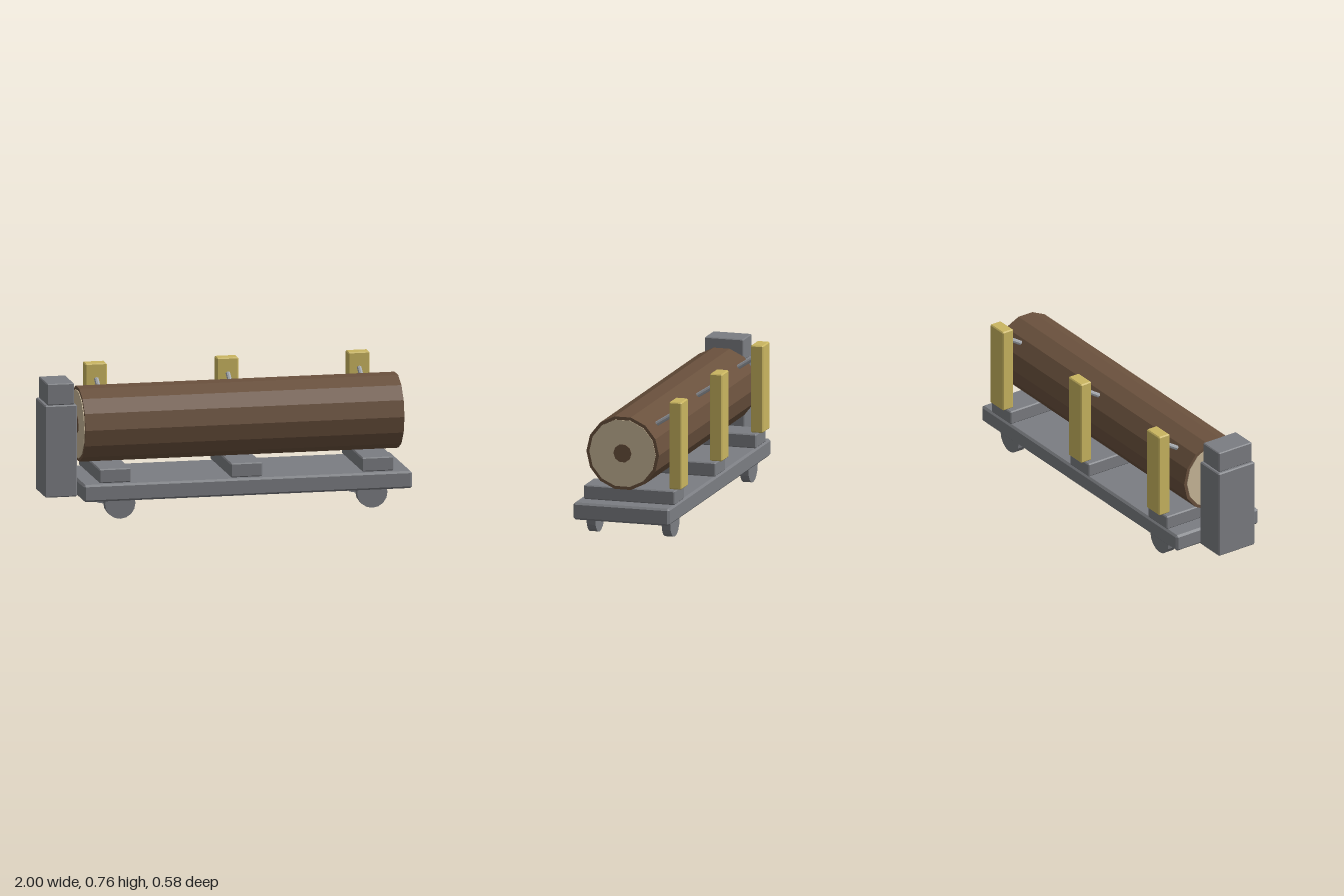
import * as THREE from 'three';
import { ConvexGeometry } from 'three/addons/geometries/ConvexGeometry.js';

const material = (name, color) => {
  const m = new THREE.MeshStandardMaterial({ color, flatShading: true });
  m.name = name;
  return m;
};

// Box with chamfered edges, given by its limits on each axis
function chamferBox([x0, x1], [y0, y1], [z0, z1], c) {
  const centre = new THREE.Vector3((x0 + x1) / 2, (y0 + y1) / 2, (z0 + z1) / 2);
  const half = [(x1 - x0) / 2, (y1 - y0) / 2, (z1 - z0) / 2];
  const points = [];
  for (const sx of [-1, 1]) for (const sy of [-1, 1]) for (const sz of [-1, 1]) {
    for (let full = 0; full < 3; full++) {
      const p = [sx, sy, sz].map((s, i) => s * (half[i] - (i === full ? 0 : c)));
      points.push(new THREE.Vector3(...p).add(centre));
    }
  }
  return new ConvexGeometry(points);
}

export function createModel() {
  const group = new THREE.Group();
  const steel = material('steel grey', 0x7b7d82);
  const bark = material('bark brown', 0x6a513d);
  const cutWood = material('cut wood', 0xc9b899);
  const yellow = material('post yellow', 0xc9b560);
  const brightMetal = material('bright metal', 0xa3a7ad);

  const add = (name, geometry, mat) => {
    const mesh = new THREE.Mesh(geometry, mat);
    mesh.name = name;
    group.add(mesh);
    return mesh;
  };

  // Carriage deck and the end housing
  add('deck', chamferBox([-0.82, 1], [0.105, 0.2], [-0.257, 0.289], 0.011), steel);
  add('housing', chamferBox([-1, -0.823], [0.108, 0.615], [-0.105, 0.134], 0.006), steel);
  add('housingTop', chamferBox([-0.986, -0.836], [0.615, 0.733], [-0.094, 0.125], 0.005), steel);

  // Cross beams with posts and slanted clamp rods
  for (const x of [-0.64, 0.088, 0.815]) {
    add('crossBeam', chamferBox([x - 0.088, x + 0.088], [0.201, 0.279], [-0.257, 0.259], 0.006), steel);
    add('post', chamferBox([x - 0.06, x + 0.06], [0.282, 0.765], [-0.287, -0.216], 0.006), yellow);

    const start = new THREE.Vector3(x, 0.595, -0.08);
    const end = new THREE.Vector3(x, 0.681, -0.213);
    const along = end.clone().sub(start);
    const rod = add('clampRod', new THREE.CylinderGeometry(0.013, 0.013, along.length(), 8), brightMetal);
    rod.position.copy(start).add(end).multiplyScalar(0.5);
    rod.quaternion.setFromUnitVectors(new THREE.Vector3(0, 1, 0), along.normalize());
  }

  // Cylinder lying along x, with one corner pointing to +z
  const lyingCylinder = (name, radius, x0, x1, sides, mat) => {
    const geometry = new THREE.CylinderGeometry(radius, radius, x1 - x0, sides);
    geometry.rotateZ(Math.PI / 2);
    add(name, geometry, mat).position.set((x0 + x1) / 2, 0.486, 0.016);
  };

  // Log with pale cut ends and dark heartwood
  lyingCylinder('log', 0.206, -0.795, 0.97, 14, bark);
  for (const [x, out] of [[-0.795, -1], [0.97, 1]]) {
    const disc = (name, radius, depth, sides, mat) =>
      lyingCylinder(name, radius, Math.min(x, x + out * depth), Math.max(x, x + out * depth), sides, mat);
    disc('cutEnd', 0.188, 0.004, 14, cutWood);
    disc('heartwood', 0.051, 0.006, 10, bark);
  }

  // Wheels, partly sunk into the deck
  for (const x of [-0.61, 0.785]) for (const z of [-0.197, 0.229]) {
    const geometry = new THREE.CylinderGeometry(0.084, 0.084, 0.049, 16);
    geometry.rotateX(Math.PI / 2);
    add('wheel', geometry, steel).position.set(x, 0.084, z);
  }
  return group;
}
